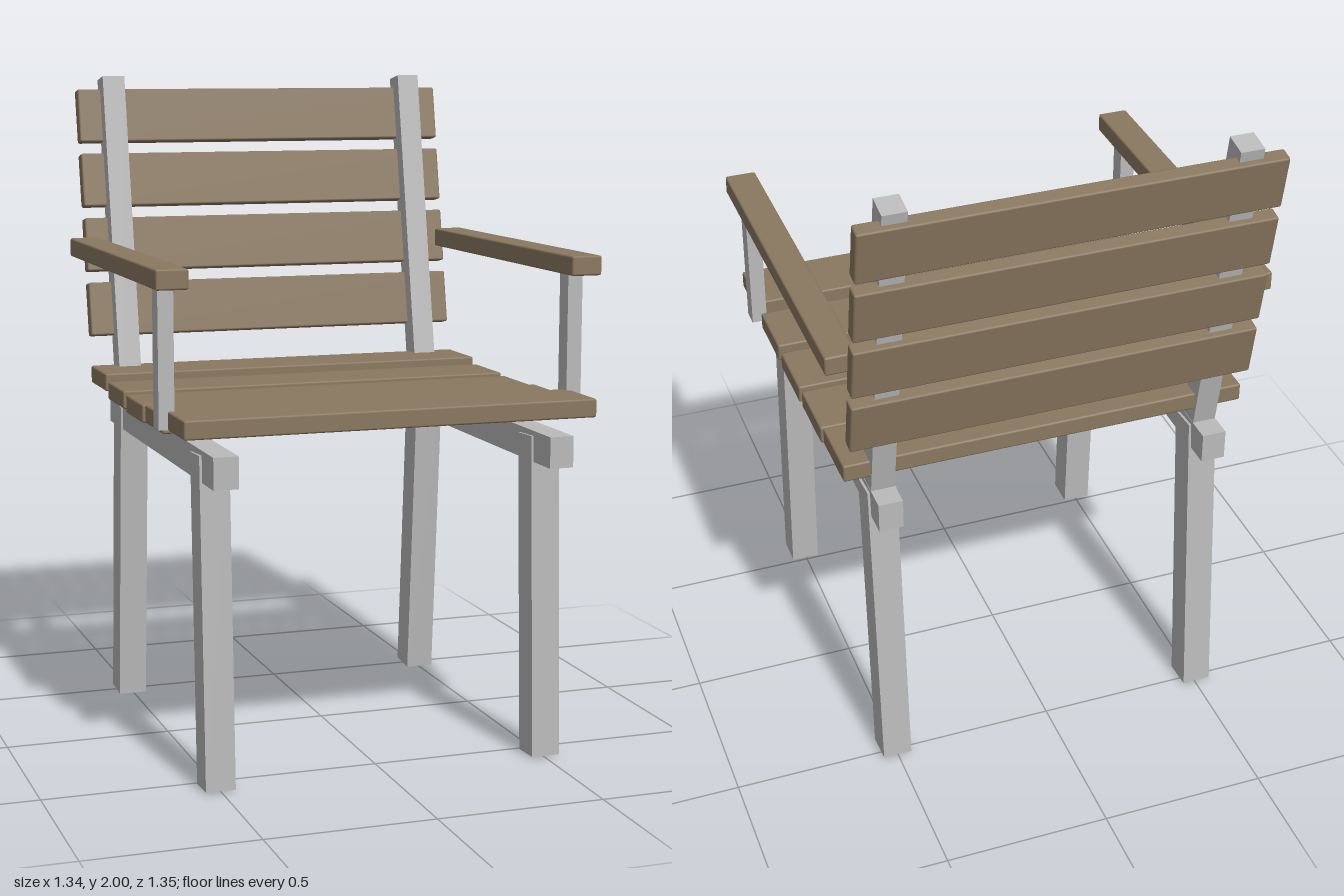
import * as THREE from 'three';
import { RoundedBoxGeometry } from 'three/addons/geometries/RoundedBoxGeometry.js';

export function createModel() {
  const chair = new THREE.Group();
  chair.name = 'slattedArmchair';

  const wood = new THREE.MeshStandardMaterial({ color: 0x8a7860 });
  wood.name = 'weatheredWood';
  const metal = new THREE.MeshStandardMaterial({ color: 0xbababa });
  metal.name = 'paleMetal';

  const add = (name, geometry, material, x, y, z, tilt = 0) => {
    const mesh = new THREE.Mesh(geometry, material);
    mesh.name = name;
    mesh.position.set(x, y, z);
    mesh.rotation.x = tilt;
    chair.add(mesh);
  };

  // Wooden plank with slightly eased edges
  const plank = (w, h, d) => new RoundedBoxGeometry(w, h, d, 1, 0.006);

  // Square bar running between two points [z, y] in a side plane
  const bar = (name, x, [z0, y0], [z1, y1], width, depth) => {
    const length = Math.hypot(z1 - z0, y1 - y0);
    const tilt = Math.atan2(z1 - z0, y1 - y0);
    add(name, new THREE.BoxGeometry(width, length, depth), metal, x, (y0 + y1) / 2, (z0 + z1) / 2, tilt);
  };

  // Seat slats, dished slightly towards the middle
  const seatGeometry = plank(1.236, 0.055, 0.203);
  [1.058, 1.038, 1.032, 1.038, 1.058].forEach((y, i) => {
    add('seatSlat', seatGeometry, wood, 0, y, 0.567 - i * 0.2335);
  });

  // Back slats, following the lean of the back posts
  const backGeometry = plank(1.224, 0.17, 0.047);
  for (let i = 0; i < 4; i++) {
    add('backSlat', backGeometry, wood, 0, 1.259 + i * 0.2037, -0.519 - i * 0.0385, -0.195);
  }

  const railGeometry = new THREE.BoxGeometry(0.073, 0.092, 1.225);
  const armGeometry = plank(0.094, 0.058, 1.093);
  const supportGeometry = new THREE.BoxGeometry(0.046, 0.42, 0.058);

  for (const side of [-1, 1]) {
    const x = side * 0.503;
    // Frame: side rail, splayed legs and leaning back post
    add('sideRail', railGeometry, metal, x, 0.936, 0.068);
    bar('frontLeg', x, [0.557, 0.003], [0.515, 0.965], 0.088, 0.095);
    bar('backLeg', x, [-0.487, 0.004], [-0.413, 0.965], 0.088, 0.095);
    bar('backPost', x, [-0.424, 0.94], [-0.624, 1.992], 0.071, 0.075);
    // Armrest and its front support
    add('armrest', armGeometry, wood, side * 0.622, 1.462, 0.031);
    add('armSupport', supportGeometry, metal, side * 0.622, 1.243, 0.469);
  }

  return chair;
}
